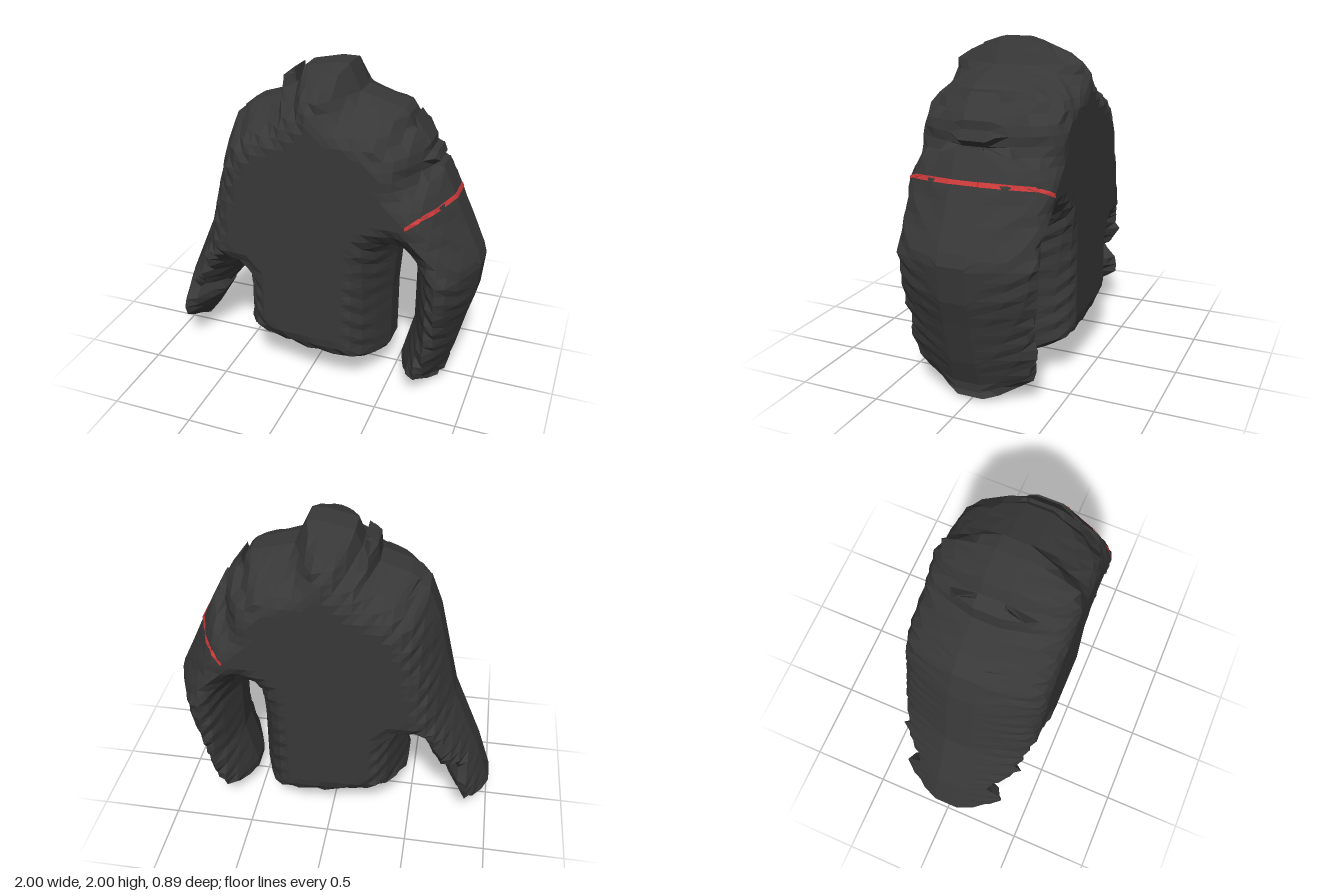
import * as THREE from 'three';

// Jacket silhouette, clockwise from the collar
const OUTLINE = [
  [-0.14, 1.86], [-0.10, 1.96], [0.08, 2.0], [0.17, 2.0], [0.24, 1.85], [0.50, 1.78], [0.53, 1.75],
  [0.55, 1.69], [0.56, 1.74], [0.66, 1.60], [0.66, 1.55], [0.70, 1.55], [0.72, 1.50], [0.67, 1.46],
  [0.74, 1.47], [0.81, 1.32], [0.90, 1.12], [0.98, 0.95], [1.0, 0.88], [0.98, 0.67], [0.94, 0.53],
  [0.88, 0.28], [0.83, 0.13], [0.83, 0.08], [0.76, 0.07], [0.79, 0.02], [0.72, 0.0], [0.60, 0.04],
  [0.55, 0.08], [0.545, 0.14], [0.62, 0.44], [0.62, 0.80], [0.59, 0.92], [0.54, 0.965], [0.51, 0.95],
  [0.49, 0.87], [0.47, 0.60], [0.47, 0.20], [0.44, 0.15], [0.38, 0.12], [0.29, 0.11], [0.02, 0.12],
  [-0.17, 0.15], [-0.29, 0.19], [-0.46, 0.24], [-0.47, 0.33], [-0.46, 0.36], [-0.46, 0.66],
  [-0.50, 0.66], [-0.61, 0.46], [-0.65, 0.42], [-0.74, 0.44], [-0.69, 0.34], [-0.82, 0.12],
  [-0.96, 0.16], [-1.0, 0.20], [-0.91, 0.47], [-0.73, 0.90], [-0.60, 1.45], [-0.53, 1.63],
  [-0.46, 1.66], [-0.48, 1.68], [-0.42, 1.72], [-0.24, 1.78], [-0.23, 1.89], [-0.16, 1.94], [-0.15, 1.86],
];
const RIM = 0.08;    // half thickness at the silhouette
const CELL = 0.055;  // facet size

// Half depth of the padding by distance from the silhouette
const PUFF = [[0, RIM], [0.04, 0.2], [0.09, 0.32], [0.14, 0.4], [0.21, 0.44]];

function edgeDistance(x, y) {
  let best = Infinity;
  OUTLINE.forEach(([ax, ay], i) => {
    const [bx, by] = OUTLINE[(i + 1) % OUTLINE.length];
    const dx = bx - ax, dy = by - ay;
    const t = THREE.MathUtils.clamp(((x - ax) * dx + (y - ay) * dy) / (dx * dx + dy * dy), 0, 1);
    best = Math.min(best, Math.hypot(x - ax - t * dx, y - ay - t * dy));
  });
  return best;
}

function halfDepth(x, y) {
  const d = edgeDistance(x, y);
  for (let i = 1; i < PUFF.length; i++) {
    const [d0, h0] = PUFF[i - 1], [d1, h1] = PUFF[i];
    if (d < d1) {
      // slight folds on the sloping padding, fading out at both ends
      const fold = 0.012 * Math.sin(x * 37 + y * 53) * Math.sin(Math.PI * d / 0.21);
      return Math.min(0.44, h0 + (h1 - h0) * (d - d0) / (d1 - d0) + fold);
    }
  }
  return 0.44;
}

// Keep the part of a polygon on one side of a grid line
function clip(poly, axis, value, sign) {
  const out = [];
  poly.forEach((a, i) => {
    const b = poly[(i + 1) % poly.length];
    const da = (a[axis] - value) * sign, db = (b[axis] - value) * sign;
    if (da >= 0) out.push(a);
    if ((da > 0 && db < 0) || (da < 0 && db > 0)) {
      const t = da / (da - db);
      out.push([a[0] + (b[0] - a[0]) * t, a[1] + (b[1] - a[1]) * t]);
    }
  });
  return out;
}

function toGeometry(positions) {
  const geometry = new THREE.BufferGeometry();
  geometry.setAttribute('position', new THREE.Float32BufferAttribute(positions, 3));
  geometry.computeVertexNormals();
  return geometry;
}

// Padded panel: the polygon cut into cells and raised; side is 1 for front, -1 for back
function panel(polygon, side, lift = 0) {
  const positions = [];
  for (let x = -1.013; x < 1.02; x += CELL) {
    const column = clip(clip(polygon, 0, x, 1), 0, x + CELL, -1);
    if (column.length < 3) continue;
    for (let y = -0.017; y < 2.02; y += CELL) {
      const cell = clip(clip(column, 1, y, 1), 1, y + CELL, -1);
      if (cell.length < 3) continue;
      const points = cell.map(([px, py]) => new THREE.Vector2(px, py));
      for (const face of THREE.ShapeUtils.triangulateShape(points, [])) {
        const tri = face.map((k) => points[k]);
        const area = THREE.ShapeUtils.area(tri);
        if (Math.abs(area) < 1e-8) continue;
        if (area * side < 0) tri.reverse();
        for (const p of tri) positions.push(p.x, p.y, side * (halfDepth(p.x, p.y) + lift));
      }
    }
  }
  return toGeometry(positions);
}

// Narrow wall joining the front and back panels
function rimWall() {
  const positions = [];
  OUTLINE.forEach(([ax, ay], i) => {
    const [bx, by] = OUTLINE[(i + 1) % OUTLINE.length];
    positions.push(ax, ay, RIM, ax, ay, -RIM, bx, by, -RIM);
    positions.push(ax, ay, RIM, bx, by, -RIM, bx, by, RIM);
  });
  return toGeometry(positions);
}

export function createModel() {
  const group = new THREE.Group();
  group.name = 'paddedJacket';
  const fabric = new THREE.MeshStandardMaterial({ color: 0x383838, flatShading: true, side: THREE.DoubleSide });
  fabric.name = 'charcoalFabric';
  const red = new THREE.MeshStandardMaterial({ color: 0xcc3a3a, flatShading: true, side: THREE.DoubleSide });
  red.name = 'redTrim';

  const add = (name, geometry, material) => {
    const mesh = new THREE.Mesh(geometry, material);
    mesh.name = name;
    group.add(mesh);
    return mesh;
  };

  // Jacket shell
  add('frontPanel', panel(OUTLINE, 1), fabric);
  add('backPanel', panel(OUTLINE, -1), fabric);
  add('sideRim', rimWall(), fabric);

  // Thin stripe around the left sleeve
  const stripe = [[0.62, 1.21], [0.70, 1.255], [0.827, 1.282], [0.815, 1.308], [0.70, 1.282], [0.62, 1.235]];
  add('sleeveStripeFront', panel(stripe, 1, 0.006), red);
  add('sleeveStripeBack', panel(stripe, -1, 0.006), red);
  const edge = add('sleeveStripeEdge', new THREE.BoxGeometry(0.009, 0.026, 2 * RIM + 0.012), red);
  edge.position.set(0.823, 1.295, 0);
  edge.rotation.z = 0.42;

  return group;
}
